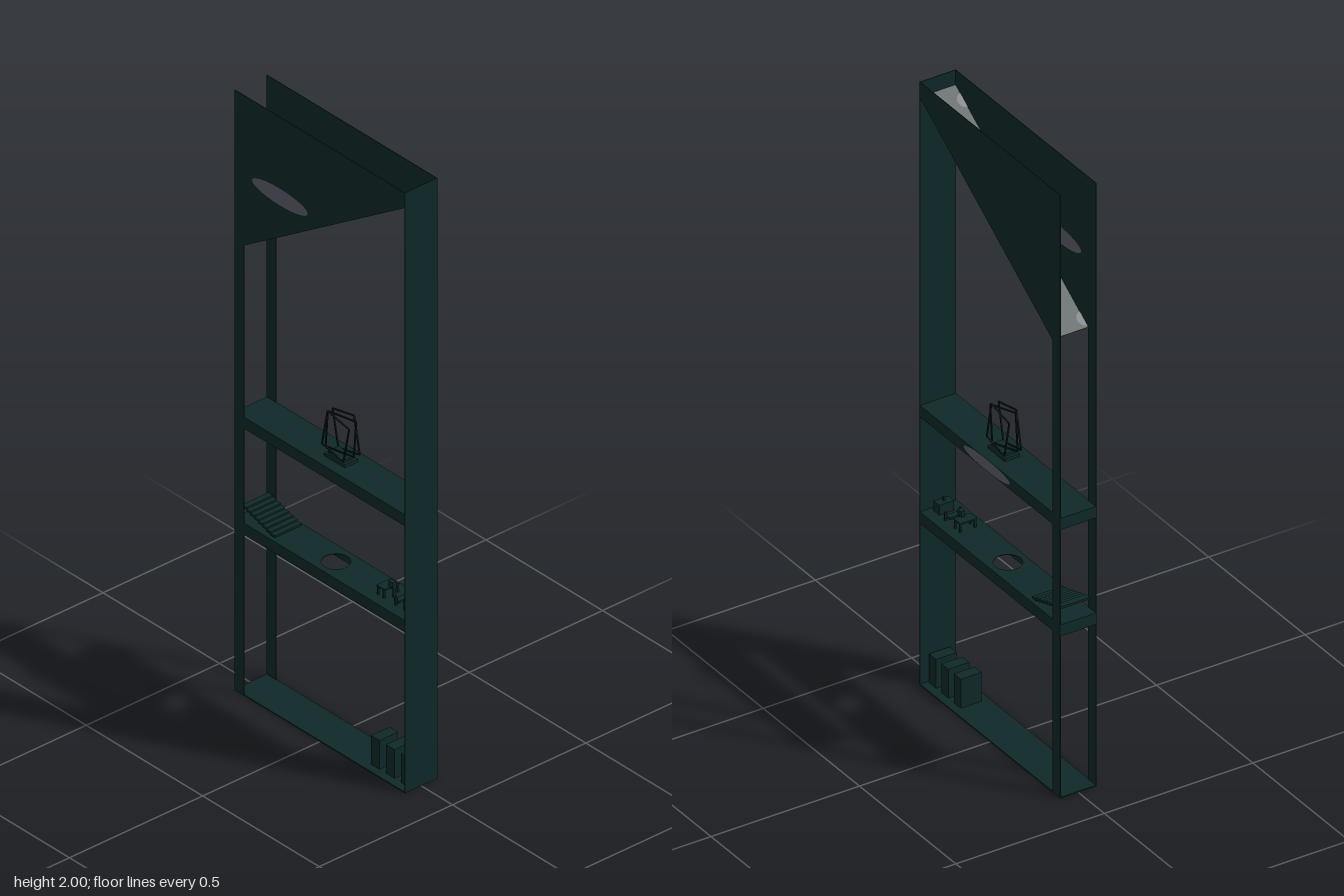
import * as THREE from 'three';

const darkGreen = new THREE.MeshStandardMaterial({ color: 0x0e2828 });
darkGreen.name = 'dark green';
const grey = new THREE.MeshStandardMaterial({ color: 0x5c5f6b, side: THREE.DoubleSide });
grey.name = 'grey';
const wireDark = new THREE.MeshStandardMaterial({ color: 0x0b1a1b });
wireDark.name = 'dark wire';

const HX = 0.061, HZ = 0.365, T = 0.002;

function add(parent, name, geo, mat, x = 0, y = 0, z = 0) {
  const m = new THREE.Mesh(geo, mat);
  m.name = name;
  m.position.set(x, y, z);
  parent.add(m);
  return m;
}

// box given by its extents
function box(parent, name, x0, x1, y0, y1, z0, z1, mat = darkGreen) {
  return add(parent, name, new THREE.BoxGeometry(x1 - x0, y1 - y0, z1 - z0), mat,
    (x0 + x1) / 2, (y0 + y1) / 2, (z0 + z1) / 2);
}

// hollow shelf: thin top with lips on the sides and the back
function shelf(parent, name, y, holeRadius) {
  const g = new THREE.Group();
  g.name = name;
  parent.add(g);
  const s = new THREE.Shape([[-HX, -HZ], [HX, -HZ], [HX, HZ], [-HX, HZ]].map(p => new THREE.Vector2(...p)));
  if (holeRadius) {
    const h = new THREE.Path();
    h.absarc(0, 0, holeRadius, 0, Math.PI * 2, true);
    s.holes.push(h);
  }
  const top = new THREE.ExtrudeGeometry(s, { depth: T, bevelEnabled: false, curveSegments: 16 });
  top.rotateX(-Math.PI / 2);
  add(g, 'shelfTop', top, darkGreen, 0, y - T, 0);
  for (const k of [-1, 1]) {
    const x = k * (HX - T / 2);
    box(g, 'shelfLip', x - T / 2, x + T / 2, y - 0.038, y, -HZ, HZ);
  }
  box(g, 'shelfBackLip', -HX, HX, y - 0.038, y, -HZ, -HZ + T);
}

export function createModel() {
  const model = new THREE.Group();
  model.name = 'displayStand';

  // casing
  box(model, 'frontPanel', -HX, HX, 0, 2, HZ - T, HZ);
  box(model, 'floor', -HX, HX, 0, 0.004, -HZ, HZ);

  // side sheets: tapered canopy running down into a narrow rear post
  const outline = [[HZ, 2], [-HZ, 2], [-HZ, 0], [-0.325, 0], [-0.325, 1.5], [HZ, 1.95]];
  const side = new THREE.ExtrudeGeometry(
    new THREE.Shape(outline.map(p => new THREE.Vector2(...p))), { depth: T, bevelEnabled: false });
  side.rotateY(-Math.PI / 2);
  add(model, 'leftSide', side, darkGreen, HX, 0, 0);
  add(model, 'rightSide', side, darkGreen, -HX + T, 0, 0);

  // sloping ceiling with two half-round spots
  const ceiling = new THREE.Group();
  ceiling.name = 'ceiling';
  ceiling.position.set(0, 1.725, 0.02);
  ceiling.rotation.x = -Math.atan2(0.45, 0.69);
  model.add(ceiling);
  box(ceiling, 'ceilingSheet', -HX, HX, 0, T, -0.411, 0.411);
  for (const z of [0.358, -0.382]) {
    const spot = new THREE.CircleGeometry(0.024, 16, -Math.PI / 2, Math.PI);
    spot.rotateX(-Math.PI / 2);
    add(ceiling, 'ceilingSpot', spot, grey, -HX, 0.004, z);
  }

  // shelves
  shelf(model, 'upperShelf', 0.928, 0);
  shelf(model, 'lowerShelf', 0.575, 0.042);

  // grey oval badges
  const badge = (name, x, y, z, rz, ry) => {
    const g = new THREE.CircleGeometry(1, 24);
    g.scale(rz, ry, 1);
    g.rotateY(Math.PI / 2);
    add(model, name, g, grey, x, y, z);
  };
  badge('shelfBadge', HX + 0.001, 0.91, 0.015, 0.12, 0.019);
  for (const x of [-HX - 0.001, -HX + T + 0.001]) badge('canopyBadge', x, 1.735, -0.17, 0.12, 0.028);

  // blocks on the floor
  for (const z of [0.337, 0.273, 0.209]) box(model, 'floorBlock', -0.035, 0.035, 0, 0.1, z - 0.018, z + 0.018);

  // little furniture on the lower shelf
  box(model, 'cabinet', -0.025, 0.025, 0.575, 0.608, 0.318, 0.347);
  box(model, 'cabinetRod', -0.003, 0.003, 0.608, 0.622, 0.33, 0.335);
  for (const x of [-0.025, 0.025]) {
    box(model, 'chairLeg', x - 0.003, x + 0.003, 0.575, 0.602, 0.283, 0.289);
    box(model, 'deskLeg', x - 0.003, x + 0.003, 0.575, 0.605, 0.207, 0.212);
    box(model, 'deskLeg', x - 0.003, x + 0.003, 0.575, 0.605, 0.232, 0.238);
  }
  box(model, 'chairSeat', -0.02, 0.02, 0.582, 0.588, 0.272, 0.292);
  box(model, 'deskTop', -0.028, 0.028, 0.601, 0.606, 0.205, 0.24);
  box(model, 'lamp', -0.006, 0.006, 0.606, 0.624, 0.232, 0.252);
  box(model, 'lampStem', -0.004, 0.004, 0.575, 0.606, 0.246, 0.252);

  // open stairs
  for (let i = 0; i < 8; i++) {
    const z = -0.205 - i * 0.0175, y = 0.578 + i * 0.0052;
    box(model, 'stairTread', -0.05, 0.05, y, y + 0.007, z - 0.02, z);
  }

  // wire sculpture: tilted rectangular frames on a plinth
  box(model, 'plinth', -0.025, 0.025, 0.928, 0.938, -0.022, 0.066);
  box(model, 'plinthTop', -0.02, 0.02, 0.938, 0.946, -0.012, 0.056);
  const frames = [[-0.02, 0.2, 0], [0.02, -0.2, 0], [0, 0.08, 0.3]];
  for (const [x, tilt, yaw] of frames) {
    const f = new THREE.Group();
    f.name = 'wireFrame';
    f.position.set(x, 1.01, 0.021);
    f.rotation.set(tilt, yaw, 0);
    model.add(f);
    const w = 0.047, h = 0.061, r = 0.002;
    for (const k of [-1, 1]) {
      box(f, 'wireUpright', -r, r, -h, h, k * w - r, k * w + r, wireDark);
      box(f, 'wireRail', -r, r, k * h - r, k * h + r, -w, w, wireDark);
    }
  }
  return model;
}
